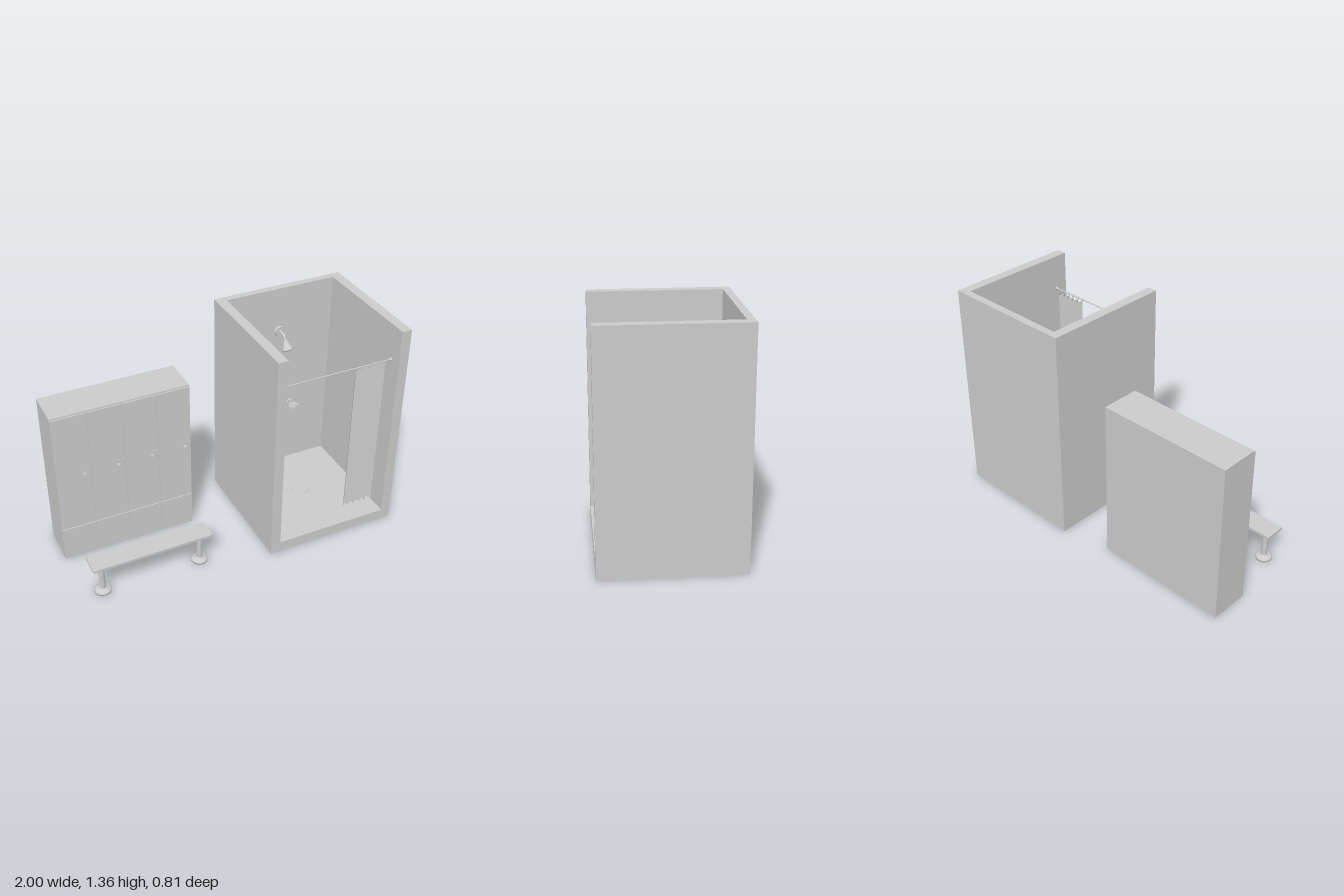
import * as THREE from 'three';

const material = new THREE.MeshStandardMaterial({ color: 0xcccccc });
const sheet = new THREE.MeshStandardMaterial({ color: 0xcccccc, side: THREE.DoubleSide, flatShading: true });

function add(parent, name, geometry, x = 0, y = 0, z = 0, mat = material) {
  const mesh = new THREE.Mesh(geometry, mat);
  mesh.name = name;
  mesh.position.set(x, y, z);
  parent.add(mesh);
  return mesh;
}

function group(parent, name, x = 0, y = 0, z = 0) {
  const g = new THREE.Group();
  g.name = name;
  g.position.set(x, y, z);
  parent.add(g);
  return g;
}

// Box given by its limits on each axis
function block(parent, name, x0, x1, y0, y1, z0, z1) {
  return add(parent, name, new THREE.BoxGeometry(x1 - x0, y1 - y0, z1 - z0),
    (x0 + x1) / 2, (y0 + y1) / 2, (z0 + z1) / 2);
}

// Cylinder along z, starting at z = 0
const discZ = (r0, r1, length, sides = 24) =>
  new THREE.CylinderGeometry(r1, r0, length, sides).rotateX(Math.PI / 2).translate(0, 0, length / 2);

function buildLockers(parent) {
  const lockers = group(parent, 'lockers');
  const x0 = -1, x1 = -0.155, back = -0.335, front = -0.088, count = 4, gap = 0.003;
  const step = (x1 - x0) / count;
  block(lockers, 'lockerBody', x0, x1, 0, 1.02, back, front - 0.01);
  for (let i = 0; i < count; i++) {
    const a = x0 + i * step + (i ? gap : 0), b = x0 + (i + 1) * step - gap;
    block(lockers, 'lockerBase', a, b, 0, 0.222, front - 0.01, front);
    block(lockers, 'lockerDoor', a, b, 0.228, 1.012, front - 0.01, front);
    // Latch: plate with a turned-out edge and a round lock
    const latch = group(lockers, 'latch', b - 0.028, 0.595, front);
    block(latch, 'latchPlate', -0.022, 0.022, -0.036, 0.036, 0, 0.002);
    block(latch, 'latchEdge', 0.016, 0.022, -0.036, 0.036, 0.002, 0.007);
    add(latch, 'lockCylinder', discZ(0.013, 0.011, 0.01), -0.008, 0, 0.002);
    block(latch, 'lockTurn', -0.014, -0.002, -0.003, 0.003, 0.012, 0.016);
  }
}

function buildBench(parent) {
  const bench = group(parent, 'bench');
  block(bench, 'benchSeat', -0.95, -0.205, 0.21, 0.226, 0.195, 0.325);
  const profile = [[0, 0], [0.05, 0], [0.05, 0.01], [0.044, 0.016], [0.018, 0.022],
    [0.017, 0.03], [0.017, 0.21]].map(p => new THREE.Vector2(...p));
  for (const x of [-0.885, -0.265]) {
    add(bench, 'benchLeg', new THREE.LatheGeometry(profile, 28), x, 0, 0.26);
  }
}

function buildStall(parent) {
  const stall = group(parent, 'showerStall');
  const x0 = 0.15, x1 = 1, in0 = 0.212, in1 = 0.938, zb = -0.405, zf = 0.405, zi = -0.36;
  // U-shaped walls, drawn in plan and extruded upwards
  const plan = new THREE.Shape([[x0, -zf], [in0, -zf], [in0, -zi], [in1, -zi],
    [in1, -zf], [x1, -zf], [x1, -zb], [x0, -zb]].map(p => new THREE.Vector2(...p)));
  add(stall, 'stallWalls',
    new THREE.ExtrudeGeometry(plan, { depth: 1.36, bevelEnabled: false }).rotateX(-Math.PI / 2));
  block(stall, 'stallFloor', in0, in1, 0, 0.07, zi, zf);
  add(stall, 'drain', new THREE.CylinderGeometry(0.052, 0.055, 0.006, 32), 0.575, 0.073, 0);

  // Curtain rod with wall sockets
  const rodY = 1.14, rodZ = 0.325;
  const rod = new THREE.CylinderGeometry(0.004, 0.004, in1 - in0, 12).rotateZ(Math.PI / 2);
  add(stall, 'curtainRod', rod, (in0 + in1) / 2, rodY, rodZ);
  for (const [x, s] of [[in0, 1], [in1, -1]]) {
    const socket = new THREE.CylinderGeometry(0.006, 0.012, 0.01, 16).rotateZ(-s * Math.PI / 2);
    add(stall, 'rodSocket', socket, x + s * 0.005, rodY, rodZ);
  }

  // Pleated curtain gathered at one side
  const pleats = 5, left = 0.703, width = 0.2, height = 1.005;
  const curtain = new THREE.PlaneGeometry(width, height, pleats * 2, 1);
  const pos = curtain.attributes.position;
  for (let i = 0; i < pos.count; i++) {
    pos.setZ(i, (i % (pleats * 2 + 1)) % 2 ? -0.034 : 0);
  }
  curtain.computeVertexNormals();
  add(stall, 'curtain', curtain, left + width / 2, 0.12 + height / 2, rodZ, sheet);
  for (let i = 0; i <= pleats; i++) {
    const ring = new THREE.TorusGeometry(0.009, 0.0018, 6, 16).rotateY(Math.PI / 2);
    add(stall, 'curtainRing', ring, left + i * width / pleats, rodY - 0.005, rodZ);
  }

  // Shower head on a bent arm
  const shower = group(stall, 'shower', 0.575, 1.068, zi);
  add(shower, 'showerFlange', discZ(0.034, 0.03, 0.01));
  const arm = new THREE.CatmullRomCurve3([[0, 0, 0], [0, 0, 0.04], [0, -0.006, 0.06], [0, -0.025, 0.08]]
    .map(p => new THREE.Vector3(...p)));
  add(shower, 'showerArm', new THREE.TubeGeometry(arm, 16, 0.009, 12));
  const headProfile = [[0, 0], [0.034, 0], [0.036, 0.004], [0.035, 0.016], [0.02, 0.05],
    [0.013, 0.068], [0, 0.07]].map(p => new THREE.Vector2(...p));
  const head = add(shower, 'showerHead', new THREE.LatheGeometry(headProfile, 28), 0, -0.083, 0.118);
  head.rotation.x = -0.62;

  // Taps with fluted knobs
  for (const x of [0.472, 0.675]) {
    const tap = group(stall, 'tap', x, 0.505, zi);
    add(tap, 'tapFlange', discZ(0.032, 0.029, 0.008));
    add(tap, 'tapStem', discZ(0.012, 0.012, 0.03), 0, 0, 0.006);
    const shape = new THREE.Shape();
    const lobes = 10;
    for (let i = 0; i < lobes * 4; i++) {
      const a = i / (lobes * 4) * Math.PI * 2, r = i % 4 < 2 ? 0.028 : 0.023;
      shape[i ? 'lineTo' : 'moveTo'](Math.cos(a) * r, Math.sin(a) * r);
    }
    shape.closePath();
    add(tap, 'tapKnob', new THREE.ExtrudeGeometry(shape,
      { depth: 0.034, bevelSize: 0.002, bevelThickness: 0.003, bevelSegments: 1 }), 0, 0, 0.036);
    add(tap, 'tapCap', discZ(0.017, 0.014, 0.004), 0, 0, 0.073);
  }
}

export function createModel() {
  const model = new THREE.Group();
  model.name = 'lockerRoom';
  buildLockers(model);
  buildBench(model);
  buildStall(model);
  return model;
}
